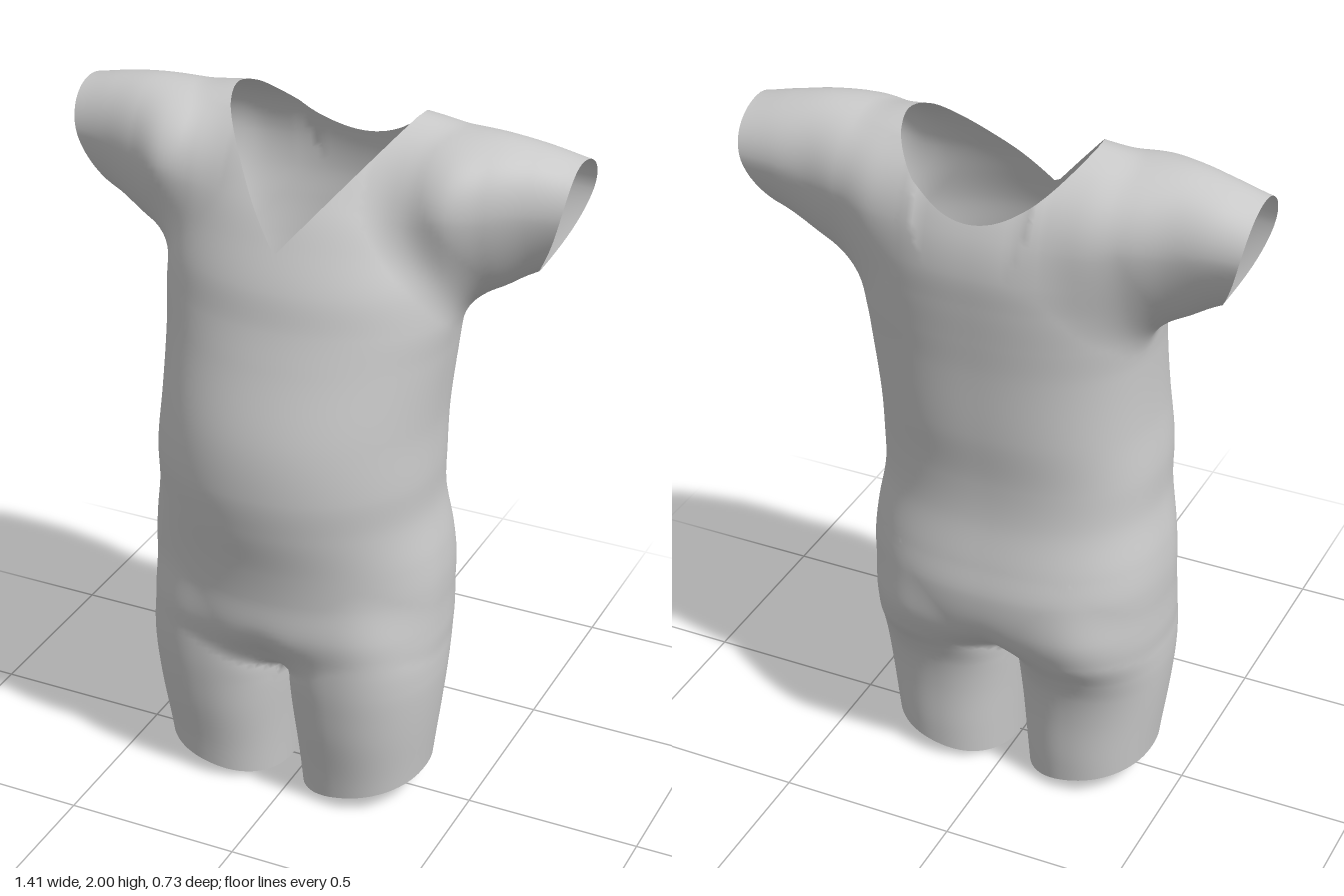
import * as THREE from 'three';
import { mergeVertices } from 'three/addons/utils/BufferGeometryUtils.js';

// Cross-section rows: [t, aMin, aMax, aCentre, bMin, bMax, bCentre]
// Torso along y: [y, half width, back z, front z, centre z]
const torso = [
  [0.38, 0.2, -0.08, 0.1, 0], [0.43, 0.34, -0.19, 0.2, 0], [0.5, 0.4, -0.285, 0.262, 0],
  [0.58, 0.418, -0.328, 0.298, 0], [0.7, 0.423, -0.345, 0.305, 0], [0.8, 0.415, -0.33, 0.32, 0],
  [0.93, 0.394, -0.307, 0.35, 0.005], [1.05, 0.393, -0.306, 0.366, 0.01], [1.2, 0.387, -0.323, 0.355, 0.005],
  [1.4, 0.396, -0.335, 0.3, -0.01], [1.5, 0.405, -0.345, 0.272, -0.02], [1.6, 0.402, -0.355, 0.25, -0.04],
  [1.7, 0.385, -0.36, 0.21, -0.06], [1.8, 0.365, -0.342, 0.16, -0.08], [1.9, 0.345, -0.295, 0.085, -0.1],
  [1.97, 0.315, -0.23, 0.012, -0.11], [1.995, 0.27, -0.185, -0.035, -0.11], [2.015, 0.18, -0.13, -0.09, -0.11],
].map(([y, w, b, f, c]) => [y, -w, w, 0, b, f, c]);

// Leg along y, a = distance from the middle line, b = z
const leg = [
  [-0.05, 0.034, 0.37, 0.2, -0.195, 0.185, 0], [0.1, 0.022, 0.388, 0.2, -0.205, 0.205, 0],
  [0.25, 0.008, 0.408, 0.2, -0.21, 0.234, 0], [0.35, -0.004, 0.419, 0.2, -0.225, 0.248, 0],
  [0.42, -0.02, 0.423, 0.2, -0.252, 0.255, 0], [0.5, -0.02, 0.42, 0.2, -0.296, 0.258, 0],
  [0.6, -0.02, 0.4, 0.2, -0.315, 0.258, 0], [0.75, 0.02, 0.34, 0.2, -0.27, 0.22, 0],
];

// Sleeve along |x|, a = y, b = z
const sleeve = [
  [0.2, 1.58, 1.955, 1.8, -0.29, 0.04, -0.12], [0.3, 1.53, 1.98, 1.8, -0.305, 0.085, -0.11],
  [0.4, 1.525, 1.988, 1.81, -0.285, 0.1, -0.1], [0.5, 1.57, 1.987, 1.82, -0.262, 0.06, -0.1],
  [0.6, 1.632, 1.972, 1.83, -0.255, 0.022, -0.105], [0.7, 1.67, 1.95, 1.83, -0.25, 0, -0.11],
  [0.78, 1.69, 1.935, 1.83, -0.248, -0.005, -0.11],
];

// Smooth interpolation of a column of a section table
function section(rows, t) {
  const n = rows.length - 1;
  t = Math.min(Math.max(t, rows[0][0]), rows[n][0]);
  let i = 0;
  while (i < n - 1 && t > rows[i + 1][0]) i++;
  const p = rows[Math.max(i - 1, 0)], q = rows[i], r = rows[i + 1], s = rows[Math.min(i + 2, n)];
  const h = r[0] - q[0], u = (t - q[0]) / h, v = 1 - u;
  return q.map((_, k) => {
    const m0 = (r[k] - p[k]) / (r[0] - p[0]) * h, m1 = (s[k] - q[k]) / (s[0] - q[0]) * h;
    return v * v * (1 + 2 * u) * q[k] + u * v * v * m0 + u * u * (3 - 2 * u) * r[k] - u * u * v * m1;
  });
}

// Approximate signed distance to a loft; power gives the roundness on each side
function loft(rows, t, a, b, power) {
  const end = Math.max(rows[0][0] - t, t - rows[rows.length - 1][0]);
  if (end > 0.25) return end;
  const [, a0, a1, ac, b0, b1, bc] = section(rows, t);
  const da = a - ac + 1e-5, db = b - bc + 1e-5;
  const p = power(da, db);
  const na = Math.abs(da / (da < 0 ? ac - a0 : a1 - ac)), nb = Math.abs(db / (db < 0 ? bc - b0 : b1 - bc));
  const rho = Math.pow(Math.pow(na, p) + Math.pow(nb, p), 1 / p);
  return Math.max(Math.hypot(da, db) * (1 - 1 / rho), end);
}

function smoothMin(a, b, k) {
  const h = Math.max(k - Math.abs(a - b), 0) / k;
  return Math.min(a, b) - h * h * k / 4;
}

const midX = (y) => -0.022 * (1 - THREE.MathUtils.smoothstep(y, 0.95, 1.5));

// Whole garment as one blended body
function body(x, y, z) {
  const cx = x - midX(y);
  let f = loft(torso, y, cx, z, (a, b) => (b < 0 ? 2.5 : 2.05));
  f = smoothMin(f, loft(leg, y, Math.abs(cx), z, () => 2.2), 0.04);
  f = smoothMin(f, loft(sleeve, Math.abs(x), y, z, (a) => (a < 0 ? 1.65 : 2)), 0.09);
  // soft hollow at the crotch and seat
  return f + 0.03 * Math.exp(-((cx / 0.06) ** 2) - ((y - 0.47) / 0.08) ** 2);
}

// Positive where cloth remains: hems, sleeve ends, V-shaped front and round back neckline
function keep(p) {
  const ax = Math.abs(p.x);
  if (p.y < 0.5) return p.y - 0.002 - 0.22 * (Math.abs(p.x + 0.022) - 0.03);
  if (p.y < 1.4) return 1;
  const neck = p.z > -0.11 ? 1.69 + 1.2 * ax : 1.83 + 2.5 * ax * ax;
  return Math.min(neck - p.y, 0.703 - (1.95 - p.y) ** 2 - ax);
}

function gradient(p) {
  const h = 0.003, { x, y, z } = p;
  return new THREE.Vector3(
    body(x + h, y, z) - body(x - h, y, z),
    body(x, y + h, z) - body(x, y - h, z),
    body(x, y, z + h) - body(x, y, z - h)).divideScalar(2 * h);
}

// Even net of quads over the body's surface
function surfaceTriangles() {
  const s = 0.018, N = [86, 122, 46], org = [-0.022 - 43 * s, -0.06, -0.4];
  const step = [1, N[0], N[0] * N[1]];
  const val = new Float32Array(N[0] * N[1] * N[2]);
  for (let k = 0, i = 0; k < N[2]; k++)
    for (let j = 0; j < N[1]; j++)
      for (let l = 0; l < N[0]; l++, i++) val[i] = body(org[0] + l * s, org[1] + j * s, org[2] + k * s);

  const cells = new Map(), tris = [];
  const each = (fn) => {
    for (let k = 1; k < N[2] - 1; k++)
      for (let j = 1; j < N[1] - 1; j++)
        for (let l = 1; l < N[0] - 1; l++) fn(l + j * step[1] + k * step[2], [l, j, k]);
  };
  const cellVertex = (i, c) => {
    const sum = new THREE.Vector3();
    let n = 0;
    for (let corner = 0; corner < 8; corner++)
      for (let ax = 0; ax < 3; ax++) {
        if (corner >> ax & 1) continue;
        const o = [corner & 1, corner >> 1 & 1, corner >> 2 & 1];
        const a = i + o[0] + o[1] * step[1] + o[2] * step[2], b = a + step[ax];
        if (val[a] < 0 === val[b] < 0) continue;
        o[ax] += val[a] / (val[a] - val[b]);
        sum.add(new THREE.Vector3(...o));
        n++;
      }
    if (!n) return;
    const p = sum.divideScalar(n).add(new THREE.Vector3(...c)).multiplyScalar(s).add(new THREE.Vector3(...org));
    // settle the point on the surface
    const g = gradient(p);
    p.addScaledVector(g, -THREE.MathUtils.clamp(body(p.x, p.y, p.z) / Math.max(g.lengthSq(), 0.3), -s / 2, s / 2));
    cells.set(i, { p, n: gradient(p).normalize() });
  };
  each(cellVertex);
  each((i) => {
    for (let ax = 0; ax < 3; ax++) {
      if (val[i] < 0 === val[i + step[ax]] < 0) continue;
      const u = step[(ax + 1) % 3], v = step[(ax + 2) % 3];
      const q = [i, i - u, i - u - v, i - v].map((c) => cells.get(c));
      if (q.some((c) => !c)) continue;
      if (val[i] < 0) tris.push([q[0], q[1], q[2]], [q[0], q[2], q[3]]);
      else tris.push([q[0], q[2], q[1]], [q[0], q[3], q[2]]);
    }
  });
  return tris;
}

// Trim a triangle along the openings
function trim(tri) {
  const d = tri.map((v) => keep(v.p));
  if (d.every((e) => e >= 0)) return [tri];
  const poly = [];
  tri.forEach((v, i) => {
    const j = (i + 1) % 3, w = tri[j];
    if (d[i] >= 0) poly.push(v);
    if (d[i] >= 0 !== d[j] >= 0) {
      const t = d[i] / (d[i] - d[j]);
      poly.push({ p: v.p.clone().lerp(w.p, t), n: v.n.clone().lerp(w.n, t).normalize() });
    }
  });
  return poly.slice(2).map((v, i) => [poly[0], poly[i + 1], v]);
}

function partName([a, b, c]) {
  const x = (a.p.x + b.p.x + c.p.x) / 3, y = (a.p.y + b.p.y + c.p.y) / 3;
  if (y < 0.42) return x > -0.022 ? 'leftLeg' : 'rightLeg';
  if (y > 1.4 && Math.abs(x) > 0.44) return x > 0 ? 'leftSleeve' : 'rightSleeve';
  return 'torso';
}

export function createModel() {
  const group = new THREE.Group();
  group.name = 'bodysuit';
  const material = new THREE.MeshStandardMaterial({ color: 0xcccccc, side: THREE.DoubleSide });
  const parts = {};
  for (const tri of surfaceTriangles().flatMap(trim)) (parts[partName(tri)] ??= []).push(...tri);
  for (const [name, verts] of Object.entries(parts)) {
    const geo = new THREE.BufferGeometry();
    geo.setAttribute('position', new THREE.Float32BufferAttribute(verts.flatMap((v) => v.p.toArray()), 3));
    geo.setAttribute('normal', new THREE.Float32BufferAttribute(verts.flatMap((v) => v.n.toArray()), 3));
    const mesh = new THREE.Mesh(mergeVertices(geo, 1e-5), material);
    mesh.name = name;
    group.add(mesh);
  }
  return group;
}
